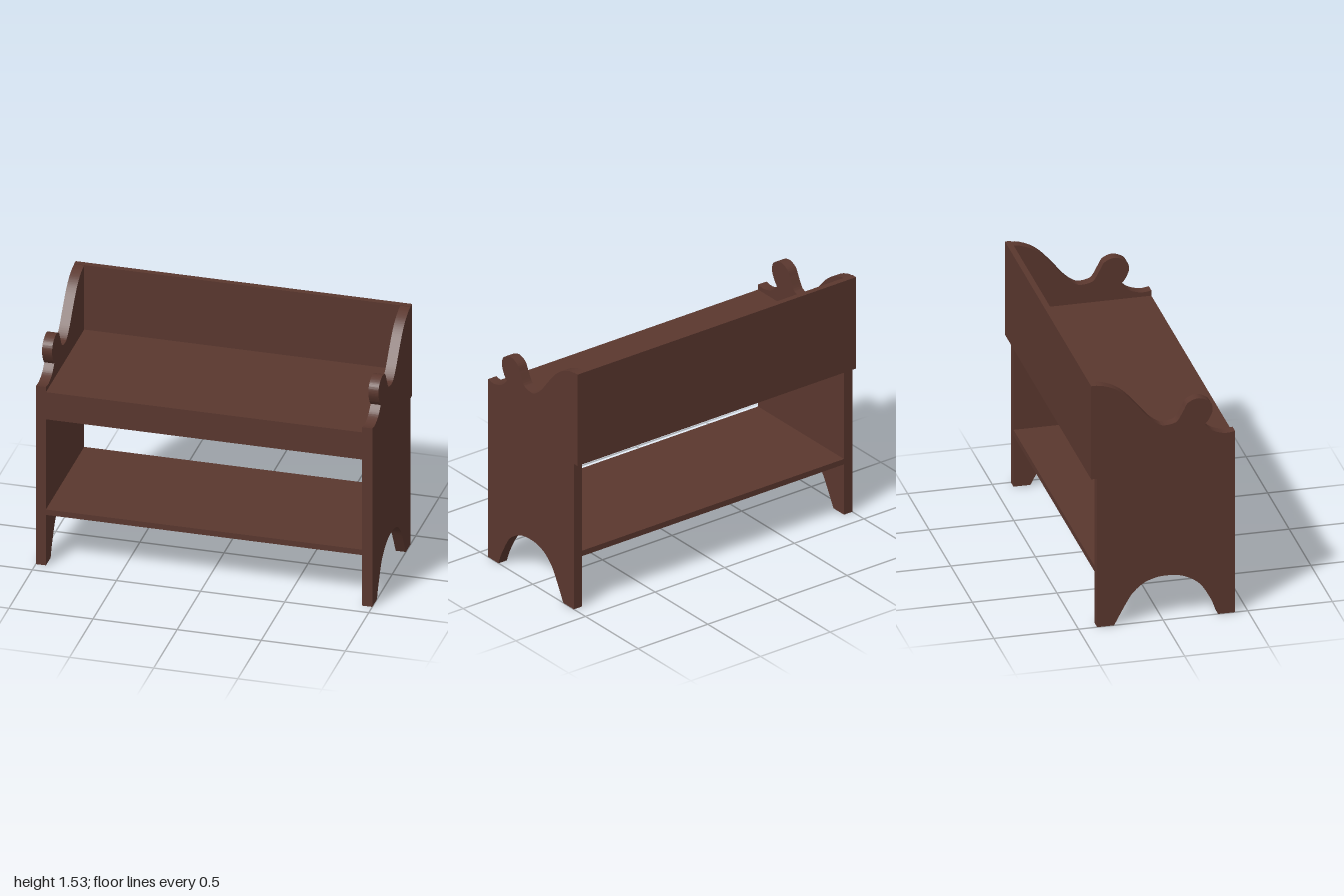
import * as THREE from 'three';
import { toCreasedNormals } from 'three/addons/utils/BufferGeometryUtils.js';

const FRONT = 0.425, BACK = -0.39, REAR = -0.425, THICK = 0.06;
const INNER_WIDTH = 2 - 2 * THICK;

// Scrolled end board outline, drawn in (z, y)
function endBoardGeometry() {
  const v = ([z, y]) => new THREE.Vector2(z, y);
  const s = new THREE.Shape();
  s.moveTo(FRONT, 0);
  s.lineTo(FRONT, 1.148);
  // arm rest, dipping then rising to the knob
  s.splineThru([[0.385, 1.142], [0.345, 1.146], [0.29, 1.168], [0.245, 1.21]].map(v));
  // round knob flowing into the hollow and up to the back
  s.splineThru([
    [0.272, 1.243], [0.293, 1.3], [0.275, 1.352], [0.21, 1.38], [0.15, 1.36],
    [0.123, 1.317], [0.09, 1.258], [0.065, 1.24], [0.02, 1.232], [-0.02, 1.24],
    [-0.08, 1.288], [-0.15, 1.372], [-0.217, 1.446], [-0.278, 1.492],
    [-0.345, 1.52], [BACK, 1.527],
  ].map(v));
  s.lineTo(BACK, 0);
  s.lineTo(-0.29, 0);
  // arched cut-out between the feet
  s.splineThru([
    [-0.205, 0.155], [-0.16, 0.212], [-0.105, 0.253], [-0.035, 0.276], [0.02, 0.28],
    [0.08, 0.276], [0.14, 0.257], [0.2, 0.22], [0.24, 0.175], [0.298, 0.07], [0.325, 0],
  ].map(v));
  const g = new THREE.ExtrudeGeometry(s, { depth: THICK, bevelEnabled: false, curveSegments: 40 });
  g.rotateY(-Math.PI / 2);
  return toCreasedNormals(g, 0.6);
}

export function createModel() {
  const bench = new THREE.Group();
  bench.name = 'bench';
  const wood = new THREE.MeshStandardMaterial({ color: 0x5a372e });
  wood.name = 'dark brown wood';

  // Board given by its width and its y and z limits
  function board(name, width, y0, y1, z0, z1) {
    const mesh = new THREE.Mesh(new THREE.BoxGeometry(width, y1 - y0, z1 - z0), wood);
    mesh.position.set(0, (y0 + y1) / 2, (z0 + z1) / 2);
    mesh.name = name;
    bench.add(mesh);
  }

  // Matching end boards
  const endGeometry = endBoardGeometry();
  for (const [name, x] of [['leftEnd', 1], ['rightEnd', -1 + THICK]]) {
    const end = new THREE.Mesh(endGeometry, wood);
    end.position.x = x;
    end.name = name;
    bench.add(end);
  }

  board('backrest', 2, 0.94, 1.53, REAR, BACK);
  board('seat', INNER_WIDTH, 1.08, 1.115, BACK, FRONT);
  board('apron', INNER_WIDTH, 0.94, 1.08, FRONT - 0.035, FRONT);
  board('shelf', INNER_WIDTH, 0.325, 0.36, BACK, FRONT);

  return bench;
}
